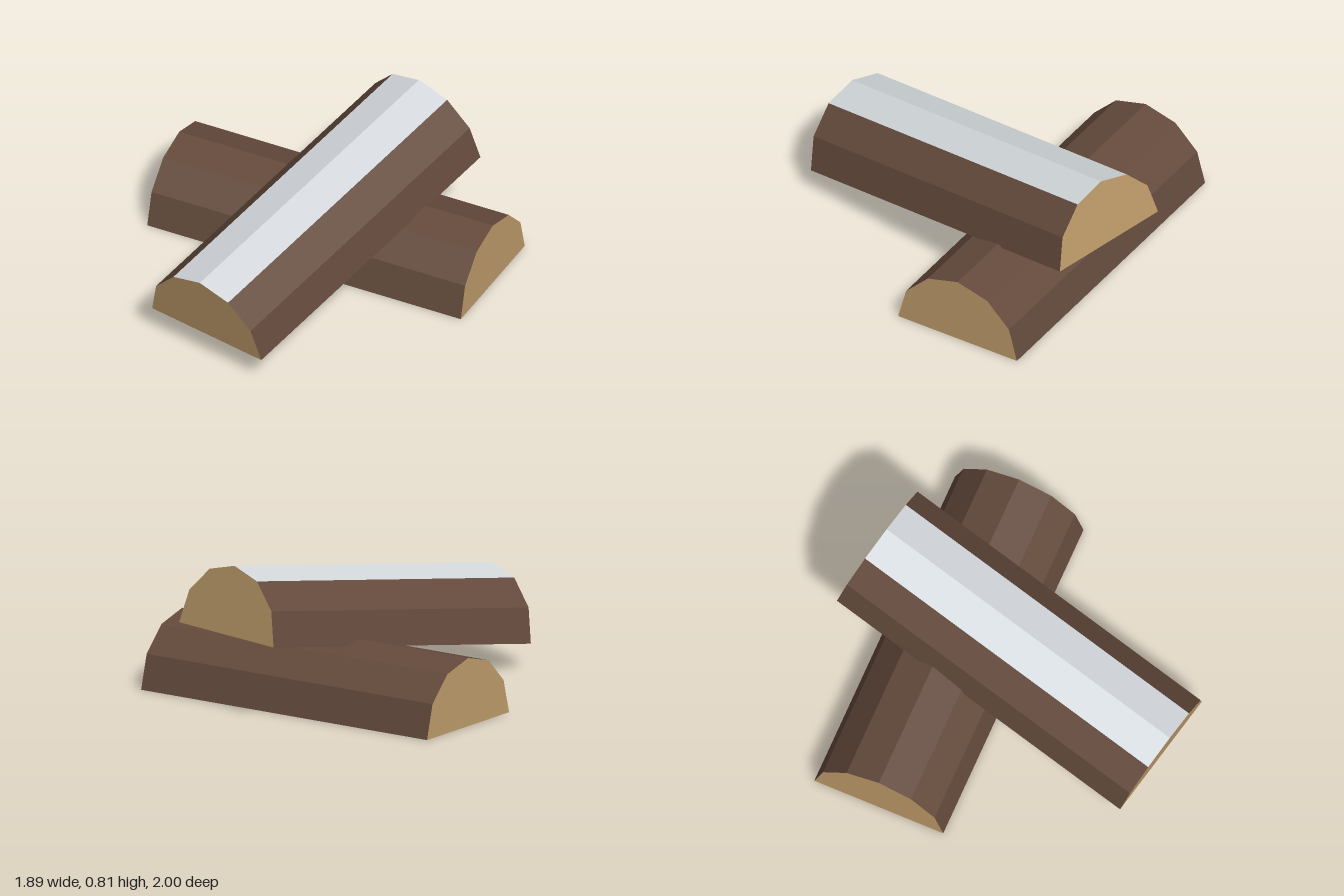
import * as THREE from 'three';

const R = 0.377; // half-log radius
const L = 1.89;  // log length
const STEP = Math.PI / 6;

const bark = new THREE.MeshStandardMaterial({ color: 0x644a3c });
const cutWood = new THREE.MeshStandardMaterial({ color: 0xbf9c6b });
const frost = new THREE.MeshStandardMaterial({ color: 0xd3d8dc });

// Adds a faceted mesh to a parent
function addPart(parent, name, geometry, material) {
  const flat = geometry.toNonIndexed();
  flat.computeVertexNormals();
  const mesh = new THREE.Mesh(flat, material);
  mesh.name = name;
  parent.add(mesh);
}

// Curved strip of facets along z; facet 0 starts at the left edge, facet 5 ends at the right
function strip(first, count) {
  return new THREE.CylinderGeometry(R, R, L, count, 1, true, -Math.PI / 2 + first * STEP, count * STEP)
    .rotateX(-Math.PI / 2);
}

// Split log lying along z with its flat side down on y = 0
function makeLog(name, topMaterial) {
  const log = new THREE.Group();
  log.name = name;
  addPart(log, 'barkSideA', strip(0, 2), bark);
  addPart(log, 'logTop', strip(2, 2), topMaterial);
  addPart(log, 'barkSideB', strip(4, 2), bark);
  const cap = () => new THREE.CircleGeometry(R, 6, 0, Math.PI);
  addPart(log, 'cutEndFront', cap().translate(0, 0, L / 2), cutWood);
  addPart(log, 'cutEndBack', cap().rotateY(Math.PI).translate(0, 0, -L / 2), cutWood);
  addPart(log, 'splitFace', new THREE.PlaneGeometry(2 * R, L).rotateX(Math.PI / 2), cutWood);
  return log;
}

export function createModel() {
  const model = new THREE.Group();
  model.name = 'stackedSplitLogs';

  // Log on the ground, running left to right
  const lower = makeLog('lowerLog', bark);
  lower.rotation.y = Math.PI / 2;
  lower.position.set(0, 0, -0.387);
  model.add(lower);

  // Leaning log with a pale top
  const upper = makeLog('upperLog', frost);
  upper.rotation.set(THREE.MathUtils.degToRad(9), THREE.MathUtils.degToRad(-12), 0, 'YXZ');
  upper.position.set(0.075, 0.288, -0.008);
  model.add(upper);

  return model;
}
